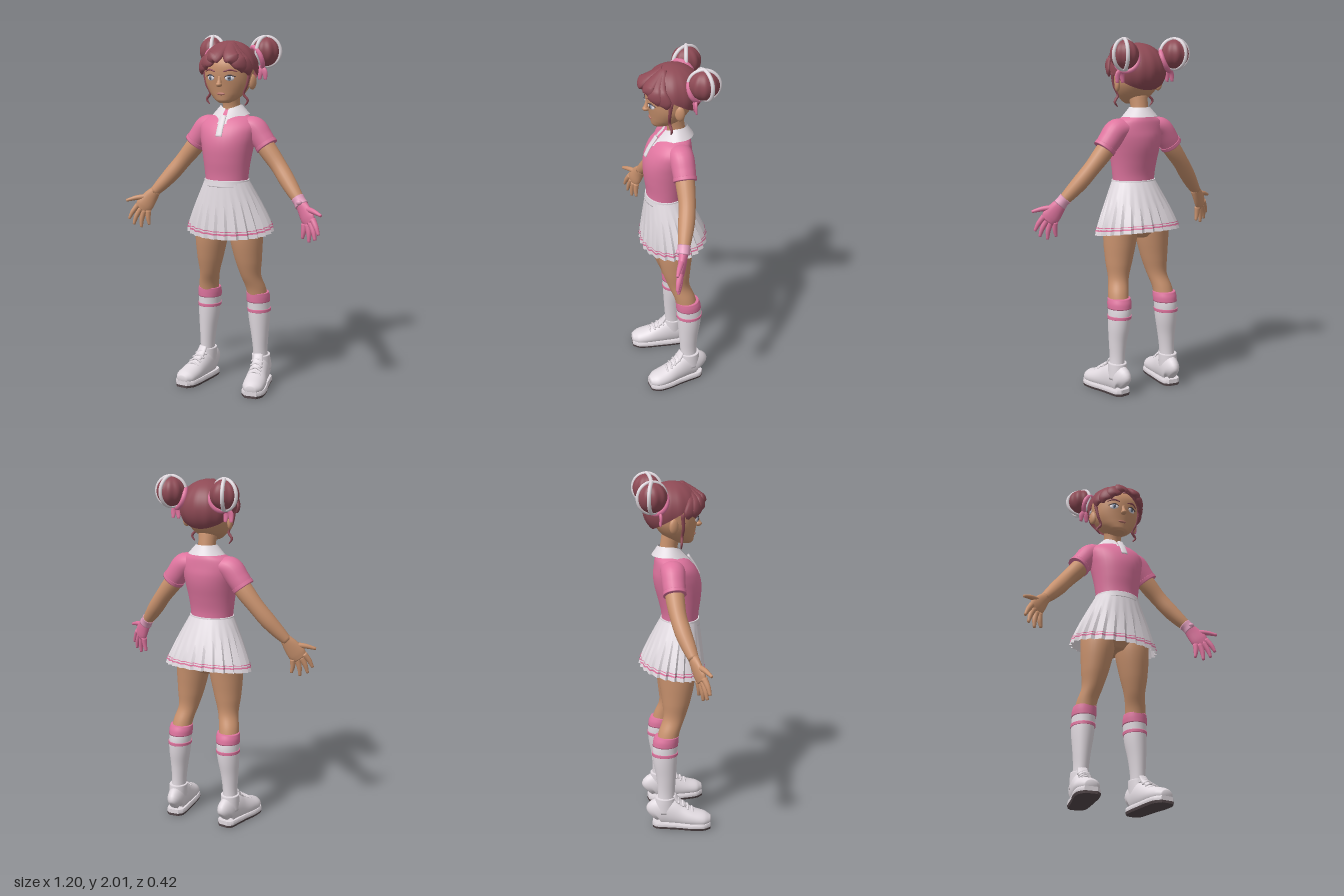
import * as THREE from 'three';
import { toCreasedNormals } from 'three/addons/utils/BufferGeometryUtils.js';

const paint = (name, color) => {
  const m = new THREE.MeshStandardMaterial({ color, side: THREE.DoubleSide });
  m.name = name;
  return m;
};
const V = (x, y, z) => new THREE.Vector3(x, y, z);

// Surface from f(u, v): u runs around, v runs along
function grid(nu, nv, f, closed = true) {
  const cols = closed ? nu : nu + 1, pos = [], idx = [];
  for (let j = 0; j <= nv; j++)
    for (let i = 0; i < cols; i++) pos.push(...f(i / nu, j / nv).toArray());
  for (let j = 0; j < nv; j++)
    for (let i = 0; i < nu; i++) {
      const k = (i + 1) % cols, a = j * cols + i, b = j * cols + k;
      idx.push(a, b, a + cols, b, b + cols, a + cols);
    }
  const g = new THREE.BufferGeometry();
  g.setAttribute('position', new THREE.Float32BufferAttribute(pos, 3));
  g.setIndex(idx);
  g.computeVertexNormals();
  return g;
}

// Elliptical rings along a smooth path; rows are [x, y, z, sideRadius, depthRadius]
function sweep(rows, { n = 16, steps = 5, flat = false, ref = V(0, 0, 1), center = null, mod = null } = {}) {
  const path = new THREE.CatmullRomCurve3(rows.map(r => V(r[0], r[1], r[2])));
  const radii = new THREE.CatmullRomCurve3(rows.map(r => V(r[3], r[4] ?? r[3], 0)), false, 'catmullrom');
  const m = (rows.length - 1) * steps;
  return grid(n, m + 2, (u, v) => {
    const j = Math.round(v * (m + 2)), t = THREE.MathUtils.clamp((j - 1) / m, 0, 1);
    const p = path.getPoint(t), r = radii.getPoint(t);
    if (j === 0 || j === m + 2) r.set(0, 0, 0);
    const T = flat ? V(0, 1, 0) : path.getTangent(t);
    const N = center ? p.clone().sub(center) : ref.clone();
    N.addScaledVector(T, -N.dot(T)).normalize();
    const B = T.clone().cross(N), a = u * Math.PI * 2;
    p.addScaledVector(N, Math.cos(a) * r.y).addScaledVector(B, Math.sin(a) * r.x);
    if (mod) mod(p);
    return p;
  });
}

// Grooved ellipsoid, cut off below the polar angle hem(a)
const dome = (c, rx, ry, rz, hem, grooves, depth) => grid(64, 24, (u, v) => {
  const a = u * Math.PI * 2, phi = hem(a) * (1 - v);
  const k = Math.sin(phi) * (1 + depth * Math.cos(grooves * a) * Math.sin(phi));
  return V(c.x + rx * k * Math.sin(a), c.y + ry * Math.cos(phi), c.z + rz * k * Math.cos(a));
});

// Pleated skirt surface; v = 0 at the hem, 1 at the waist
function skirtPoint(u, v, lift = 0) {
  const a = u * Math.PI * 2, w = 1 - Math.pow(v, 1.2), saw = ((u * 24) % 1) / 0.75;
  const k = 1 + 0.07 * (saw - 0.5) * w, c = Math.cos(a);
  const hem = 0.915 - 0.027 * c;
  return V((0.128 + 0.124 * w + lift) * k * Math.sin(a), hem + (1.21 - hem) * v,
    0.045 - 0.045 * w + (0.108 + 0.076 * w + lift) * k * c);
}

export function createModel() {
  const skin = paint('skin', 0xc9926e), hair = paint('hair', 0x8e4a55), pink = paint('pink cloth', 0xdf759f);
  const white = paint('white cloth', 0xe0d9df), pale = paint('pale pink', 0xe3a0bf), dark = paint('dark sole', 0x55494c);
  const iris = paint('iris', 0x7486a0), lips = paint('lips', 0xb8756a);
  const model = new THREE.Group();
  const add = (name, geo, mat, parent = model) => {
    const m = new THREE.Mesh(geo, mat);
    m.name = name;
    parent.add(m);
    return m;
  };
  const ball = (name, mat, p, s, ry = 0) => {
    const m = add(name, new THREE.SphereGeometry(1, 20, 14), mat);
    m.position.set(...p);
    m.scale.set(...s);
    m.rotation.y = ry;
  };
  const flat = { flat: true, n: 32 };

  // Head, neck and face
  add('head', sweep([[0, 1.642, 0.072, 0.03, 0.035], [0, 1.656, 0.06, 0.058, 0.058], [0, 1.69, 0.035, 0.096, 0.09],
    [0, 1.74, 0.02, 0.125, 0.115], [0, 1.79, 0.015, 0.135, 0.13], [0, 1.85, 0.01, 0.137, 0.135],
    [0, 1.9, 0, 0.12, 0.12], [0, 1.95, 0, 0.07, 0.07]], flat), skin);
  add('neck', sweep([[0, 1.54, -0.025, 0.056], [0, 1.62, -0.018, 0.049], [0, 1.7, 0, 0.055]], flat), skin);
  add('noseBridge', sweep([[0, 1.79, 0.138, 0.009], [0, 1.765, 0.143, 0.011], [0, 1.748, 0.148, 0.014]]), skin);
  ball('nose', skin, [0, 1.745, 0.146], [0.017, 0.014, 0.02]);
  ball('mouth', lips, [0, 1.693, 0.124], [0.025, 0.008, 0.007]);

  // Hair cap and swept fringe
  const skull = V(0, 1.83, 0);
  add('hairCap', dome(skull, 0.158, 0.15, 0.16, a => 1.75 - 0.62 * Math.cos(a), 14, 0.012), hair);
  const locks = [[-0.14, 1.795, 0.07], [-0.118, 1.8, 0.11], [-0.08, 1.822, 0.142], [-0.035, 1.852, 0.16],
    [0.142, 1.795, 0.07], [0.122, 1.81, 0.11], [0.085, 1.845, 0.142]];
  for (const [x, y, z] of locks) {
    const mx = x * 0.75 + 0.008, my = y * 0.42 + 1.93 * 0.58;
    add('fringeLock', sweep([[0.02 + x * 0.12, 1.965, 0.06, 0.02, 0.012], [mx, my, z * 0.6 + 0.062, 0.043, 0.019],
      [x, y + 0.03, z + 0.008, 0.034, 0.015], [x * 1.01, y, z, 0.008, 0.005]], { center: skull }), hair);
  }

  // Torso: pelvis, shirt, placket, collar, skirt
  add('pelvis', sweep([[0, 0.89, 0.01, 0.06, 0.07], [0, 0.95, 0.01, 0.16, 0.115], [0, 1.05, 0.02, 0.155, 0.115],
    [0, 1.18, 0.045, 0.115, 0.095]], flat), skin);
  add('shirt', sweep([[0, 1.195, 0.045, 0.122, 0.103], [0, 1.25, 0.045, 0.127, 0.106], [0, 1.32, 0.042, 0.136, 0.119],
    [0, 1.4, 0.034, 0.15, 0.132], [0, 1.46, 0.025, 0.162, 0.13], [0, 1.51, 0.015, 0.165, 0.115],
    [0, 1.55, 0, 0.138, 0.095], [0, 1.58, -0.015, 0.08, 0.07], [0, 1.6, -0.02, 0.055]], flat), pink);
  add('placket', sweep([[0, 1.462, 0.156, 0.019, 0.006], [0, 1.51, 0.132, 0.019, 0.006], [0, 1.57, 0.09, 0.019, 0.008]]), white);
  add('collar', grid(48, 6, (u, v) => {
    const a = 0.16 + u * (Math.PI * 2 - 0.32), dip = Math.max(0, Math.cos(a)) ** 2, w = 1 - v * v;
    return V((0.058 + 0.047 * w) * Math.sin(a), 1.627 - 0.02 * dip - w * (0.052 + 0.03 * dip),
      -0.018 + (0.06 + w * (0.035 + 0.045 * dip)) * Math.cos(a));
  }, false), white);
  add('skirt', toCreasedNormals(grid(96, 10, (u, v) => skirtPoint(u, v)), 0.6), white);
  for (const [lo, hi] of [[0.075, 0.105], [0.13, 0.145]])
    add('skirtStripe', toCreasedNormals(grid(96, 1, (u, v) => skirtPoint(u, lo + (hi - lo) * v, 0.003)), 0.6), pink);
  add('waistband', sweep([[0, 1.18, 0.043, 0.136, 0.116], [0, 1.2, 0.045, 0.131, 0.111], [0, 1.215, 0.045, 0.129, 0.109]], flat), white);

  for (const s of [1, -1]) {
    const side = rows => rows.map(([x, ...rest]) => [s * x, ...rest]);
    const part = (name, mat, rows, opt) => add(name, sweep(side(rows), opt), mat);

    // Eyes, brows, ears and loose curls
    ball('eye', white, [s * 0.056, 1.779, 0.131], [0.026, 0.015, 0.007], s * 0.42);
    ball('iris', iris, [s * 0.056, 1.78, 0.135], [0.012, 0.013, 0.006], s * 0.42);
    ball('pupil', dark, [s * 0.056, 1.78, 0.138], [0.006, 0.007, 0.005], s * 0.42);
    part('lash', dark, [[0.03, 1.785, 0.143, 0.002], [0.055, 1.796, 0.138, 0.004], [0.088, 1.787, 0.119, 0.002]]);
    part('brow', hair, [[0.025, 1.814, 0.146, 0.003], [0.06, 1.824, 0.136, 0.005], [0.095, 1.814, 0.114, 0.002]]);
    ball('ear', skin, [s * 0.134, 1.755, -0.002], [0.016, 0.042, 0.027], s * -0.4);
    part('curl', hair, [[0.137, 1.82, 0.045, 0.012], [0.122, 1.74, 0.05, 0.009], [0.102, 1.69, 0.045, 0.008],
      [0.125, 1.655, 0.04, 0.007], [0.108, 1.628, 0.04, 0.003]], { n: 8 });

    // Buns with ribbons and ties
    const bun = V(s * 0.163, 1.918, -0.122);
    add('bun', dome(bun, 0.077, 0.081, 0.08, () => Math.PI, 9, 0.035), hair);
    for (const d of [-0.5, 0.5]) {
      const band = add('bunRibbon', new THREE.TorusGeometry(0.081, 0.011, 8, 40), white);
      band.position.copy(bun);
      band.rotation.y = s * (0.78 + d);
    }
    const tie = add('bunTie', new THREE.TorusGeometry(0.062, 0.014, 8, 28), pink);
    tie.position.set(s * 0.125, 1.885, -0.088);
    tie.lookAt(s * 0.8, 2.25, -0.75);
    for (const d of [-1, 1])
      part('ribbonTail', pink, [[0.155, 1.835, -0.08, 0.012, 0.01], [0.162 + d * 0.012, 1.81, -0.075, 0.017, 0.008],
        [0.162 + d * 0.018, 1.765, -0.078, 0.009, 0.005]], { n: 10 });

    // Sleeve and arm
    part('sleeve', pink, [[0.09, 1.515, -0.005, 0.05, 0.07], [0.145, 1.497, -0.008, 0.067, 0.068],
      [0.19, 1.445, -0.008, 0.064, 0.064], [0.222, 1.402, -0.006, 0.061, 0.06]], { n: 24 });
    part('sleeveHem', pink, [[0.211, 1.417, -0.007, 0.065, 0.064], [0.224, 1.4, -0.006, 0.065, 0.064]], { n: 24 });
    part('arm', skin, [[0.15, 1.48, -0.01, 0.05], [0.225, 1.385, -0.006, 0.052], [0.295, 1.3, 0.004, 0.046],
      [0.355, 1.225, 0.025, 0.045], [0.41, 1.16, 0.05, 0.038], [0.455, 1.11, 0.07, 0.028]], { n: 20 });

    // Hand: gloved on the left, bare on the right
    const handMat = s > 0 ? pink : skin, ref = V(s * -0.42, 0, 0.9);
    part('palm', handMat, [[0.445, 1.12, 0.067, 0.03, 0.028], [0.475, 1.08, 0.08, 0.043, 0.024],
      [0.505, 1.035, 0.096, 0.05, 0.021], [0.523, 1.008, 0.105, 0.04, 0.016]], { ref });
    const fingers = [
      [[0.54, 1.035, 0.113], [0.566, 0.995, 0.13], [0.584, 0.955, 0.14]],
      [[0.525, 1.015, 0.107], [0.548, 0.967, 0.12], [0.56, 0.922, 0.128]],
      [[0.506, 1.003, 0.1], [0.518, 0.952, 0.108], [0.52, 0.905, 0.112]],
      [[0.484, 1.002, 0.09], [0.483, 0.96, 0.094], [0.476, 0.92, 0.094]],
      [[0.48, 1.085, 0.082], [0.545, 1.078, 0.118], [0.598, 1.063, 0.145]]];
    fingers.forEach((f, i) => part(i < 4 ? 'finger' : 'thumb', handMat,
      f.map((p, j) => [...p, [0.017, 0.014, 0.008][j]]), { n: 10, ref }));
    if (s > 0) {
      part('gloveCuff', pale, [[0.432, 1.136, 0.06, 0.037, 0.036], [0.447, 1.118, 0.067, 0.035, 0.034], [0.462, 1.098, 0.074, 0.039, 0.034]]);
      ball('cuffKnot', pale, [0.455, 1.118, 0.1], [0.017, 0.014, 0.012]);
    }

    // Leg, sock and its bands
    part('leg', skin, [[0.158, 0.48, -0.052, 0.058, 0.062], [0.149, 0.58, -0.03, 0.057, 0.06], [0.13, 0.66, 0, 0.058, 0.062],
      [0.12, 0.75, 0.012, 0.075, 0.08], [0.108, 0.88, 0.017, 0.093, 0.102], [0.1, 0.98, 0.012, 0.095, 0.107],
      [0.085, 1.06, 0.02, 0.08, 0.09]], flat);
    part('sock', white, [[0.176, 0.1, -0.055, 0.045, 0.05], [0.17, 0.2, -0.05, 0.041, 0.049], [0.166, 0.3, -0.05, 0.049, 0.056],
      [0.16, 0.4, -0.055, 0.061, 0.068], [0.156, 0.48, -0.055, 0.064, 0.072], [0.153, 0.55, -0.045, 0.062, 0.066]], flat);
    part('sockCuff', pink, [[0.155, 0.5, -0.053, 0.067, 0.073], [0.154, 0.53, -0.05, 0.068, 0.072], [0.153, 0.557, -0.044, 0.064, 0.067]], flat);
    part('sockStripe', pink, [[0.158, 0.442, -0.056, 0.0665, 0.0745], [0.157, 0.46, -0.056, 0.067, 0.075]], flat);

    // Shoe, sole, tread and laces
    const shoe = [[0.165, 0.06, -0.128, 0.022, 0.04], [0.168, 0.085, -0.105, 0.046, 0.078], [0.176, 0.092, -0.04, 0.053, 0.086],
      [0.188, 0.075, 0.03, 0.057, 0.07], [0.202, 0.06, 0.1, 0.063, 0.053], [0.212, 0.05, 0.165, 0.058, 0.042],
      [0.216, 0.045, 0.203, 0.03, 0.025]];
    const up = V(0, 1, 0), slab = (lo, hi) => ({ n: 32, ref: up, mod: p => { p.y = THREE.MathUtils.clamp(p.y, lo, hi); } });
    const wide = shoe.map(([x, y, z, a]) => [x, 0.02, z, a + 0.006, 0.06]);
    part('shoe', white, shoe, slab(0.02, 1));
    add('sole', toCreasedNormals(sweep(side(wide), slab(0.014, 0.038)), 0.7), white);
    add('tread', toCreasedNormals(sweep(side(wide), slab(0, 0.014)), 0.7), dark);
    part('shoeCollar', white, [[0.175, 0.09, -0.055, 0.052, 0.066], [0.173, 0.15, -0.056, 0.052, 0.06], [0.172, 0.182, -0.056, 0.051, 0.057]], flat);
    part('tongue', white, [[0.192, 0.125, 0.06, 0.028, 0.014], [0.183, 0.158, 0.018, 0.03, 0.014], [0.178, 0.195, -0.004, 0.026, 0.008]], { ref: up });
    for (let i = 0; i < 4; i++) {
      const x = 0.18 + i * 0.006, z = 0.018 + i * 0.026, y = 0.172 - i * 0.017;
      part('lace', white, [[x - 0.036, y - 0.018, z, 0.006], [x, y, z, 0.007], [x + 0.036, y - 0.018, z, 0.006]], { n: 8, ref: up });
    }
  }
  return model;
}
